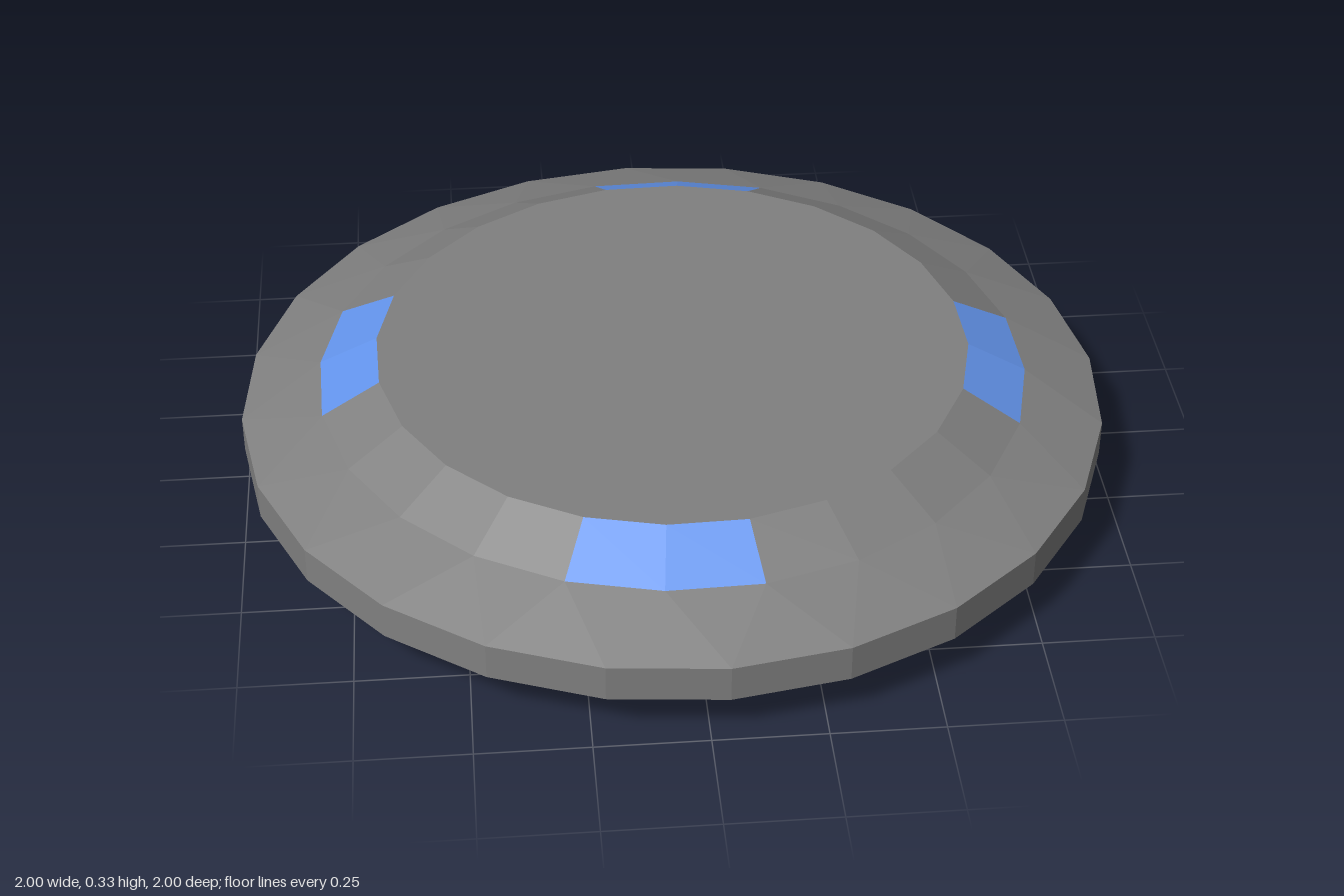
import * as THREE from 'three';

const SIDES = 24;
const STEP = (Math.PI * 2) / SIDES;
const INNER = THREE.MathUtils.degToRad(-9.2); // turn of the inner rings
const OUTER = THREE.MathUtils.degToRad(-2.3); // turn of the rim

// A ring is a radius, a height and a starting angle.
const ring = (r, y, turn) => (i) => {
  const a = turn + i * STEP;
  return [r * Math.cos(a), y, r * Math.sin(a)];
};

const all = [...Array(SIDES).keys()];

// Facets between two rings, for the chosen segments.
function band(lower, upper, segments = all) {
  return segments.flatMap((i) => [
    lower(i), upper(i), upper(i + 1),
    lower(i), upper(i + 1), lower(i + 1),
  ]);
}

// Flat disc closing a ring.
function cap(edge, y, up) {
  return all.flatMap((i) => up
    ? [[0, y, 0], edge(i + 1), edge(i)]
    : [[0, y, 0], edge(i), edge(i + 1)]);
}

function mesh(name, points, color, side = THREE.FrontSide) {
  const geometry = new THREE.BufferGeometry();
  geometry.setAttribute('position', new THREE.Float32BufferAttribute(points.flat(), 3));
  geometry.computeVertexNormals();
  const m = new THREE.Mesh(geometry, new THREE.MeshStandardMaterial({ color, flatShading: true, side }));
  m.name = name;
  return m;
}

export function createModel() {
  const model = new THREE.Group();
  model.name = 'saucer';

  const base = ring(0.82, 0, INNER);
  const neck = ring(0.82, 0.11, INNER);
  const rimLow = ring(1, 0.11, OUTER);
  const rimHigh = ring(1, 0.195, OUTER);
  const shoulder = ring(0.82, 0.26, INNER);
  const deck = ring(0.685, 0.33, INNER);

  // Hull
  const isWindow = (i) => i % 6 < 2;
  const hullColor = 0x808080;
  model.add(
    mesh('bottomPlate', cap(base, 0, false), hullColor),
    mesh('lowerWall', band(base, neck), hullColor),
    mesh('rim', band(rimLow, rimHigh), hullColor),
    mesh('upperSlope', band(rimHigh, shoulder), hullColor),
    mesh('deckBevel', band(shoulder, deck, all.filter((i) => !isWindow(i))), hullColor),
    mesh('topDeck', cap(deck, 0.33, true), hullColor),
  );

  // Coloured underside of the rim
  model.add(mesh('rimUnderside', band(neck, rimLow), 0x00ced1));

  // Four windows, two facets wide
  for (let w = 0; w < 4; w++) {
    model.add(mesh('window', band(shoulder, deck, [w * 6, w * 6 + 1]), 0x6495ed));
  }

  // Triangular fins under the rim; one is plain grey
  for (const i of all) {
    const color = i === 4 ? 0xcccccc : 0x7b68ee;
    model.add(mesh('fin', [base(i), neck(i), rimLow(i)], color, THREE.DoubleSide));
  }

  return model;
}
